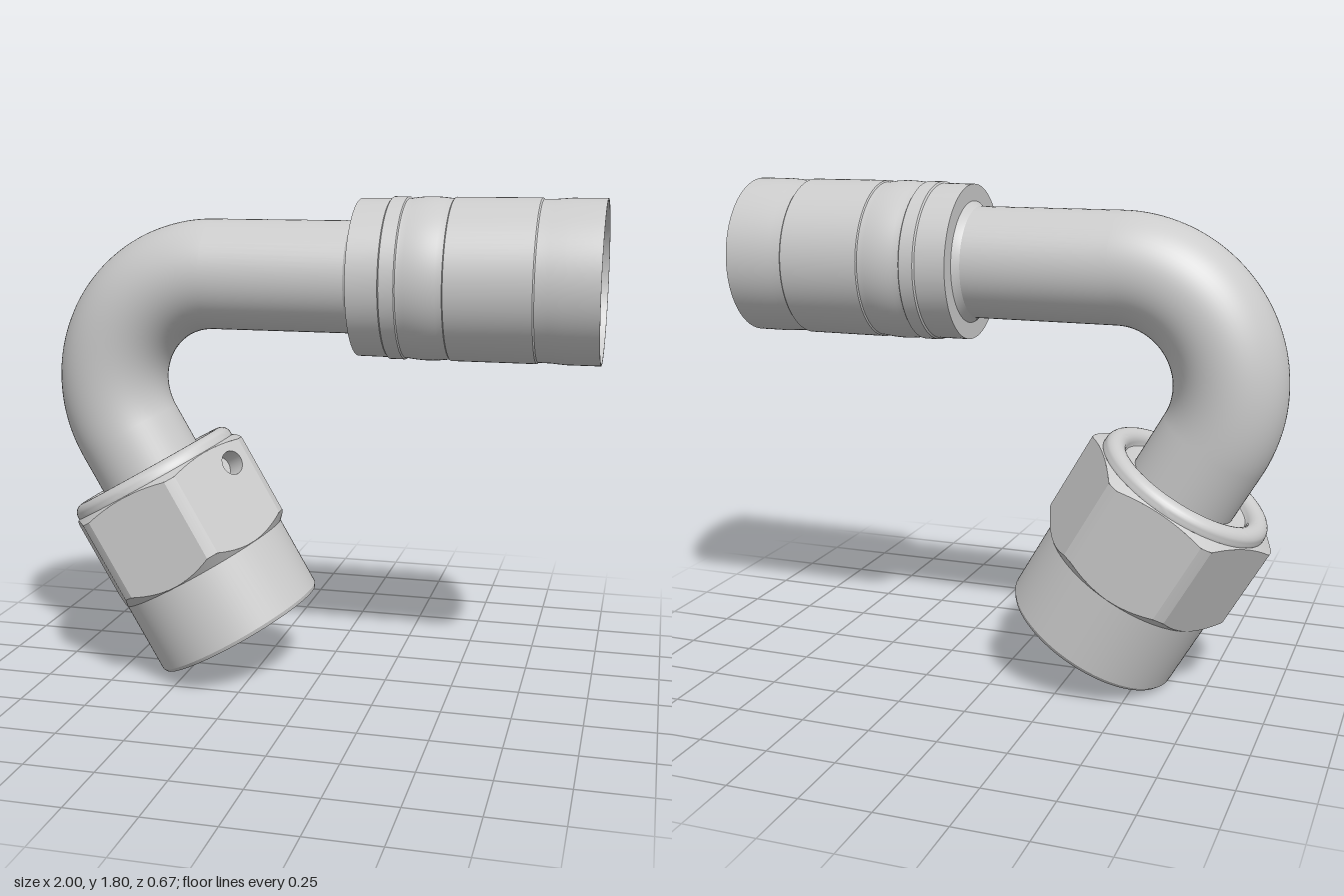
import * as THREE from 'three';
import { toCreasedNormals } from 'three/addons/utils/BufferGeometryUtils.js';

const material = new THREE.MeshStandardMaterial({ color: 0xcccccc, side: THREE.DoubleSide });
const AXIS_Y = 1.51, BEND_X = -0.4, BEND_R = 0.4;   // tube centre line
const FLAT = 0.335, CORNER = 0.375;                 // hex nut radii

function part(name, geometry, parent) {
  const mesh = new THREE.Mesh(geometry, material);
  mesh.name = name;
  parent.add(mesh);
  return mesh;
}

function lathe(profile, segments = 96) {
  const points = profile.map(([r, y]) => new THREE.Vector2(r, y));
  return toCreasedNormals(new THREE.LatheGeometry(points, segments), 0.45);
}

function pipe(r, y0, y1) {
  return new THREE.CylinderGeometry(r, r, y1 - y0, 64, 1, true).translate(0, (y0 + y1) / 2, 0);
}

// Height of the nut's two conical chamfers at a given radius
const chamferTop = r => 0.2 + (r - 0.33) * 0.5;
const chamferBottom = r => 0.575 - (r - 0.333) * 0.95;

// Conical ring whose outer rim is trimmed to the hexagon
function chamferRing(rInner, height) {
  const g = new THREE.LatheGeometry(
    [new THREE.Vector2(rInner, 0), new THREE.Vector2(CORNER, 1)], 180);
  const p = g.attributes.position;
  for (let i = 0; i < p.count; i++) {
    const x = p.getX(i), z = p.getZ(i), a = Math.atan2(z, x), sector = Math.PI / 3;
    const fromFlat = a - (Math.floor(a / sector) + 0.5) * sector;
    const r0 = Math.hypot(x, z), r = Math.min(r0, FLAT / Math.cos(fromFlat));
    p.setXYZ(i, x * r / r0, height(r), z * r / r0);
  }
  // The lower chamfer runs inwards as it descends, so its faces are turned over
  if (height === chamferBottom) g.index.array.reverse();
  g.computeVertexNormals();
  return toCreasedNormals(g, 0.45);
}

function buildNut() {
  const nut = new THREE.Group();
  nut.name = 'swivelNut';

  // Rounded lip around the tube
  const lip = [[0.2, 0.2], [0.235, 0.2], [0.247, 0.195]];
  for (let i = 0; i <= 12; i++) {
    const a = Math.PI * i / 12;
    lip.push([0.29 - 0.04 * Math.cos(a), 0.19 - 0.038 * Math.sin(a)]);
  }
  lip.push([0.33, 0.2]);
  part('nutLip', lathe(lip), nut);

  // Round skirt, bore and sealing seat
  part('nutSkirt', lathe([
    [0.333, 0.575], [0.333, 0.848], [0.325, 0.862], [0.29, 0.862], [0.255, 0.82],
    [0.255, 0.45], [0.235, 0.45], [0.235, 0.38], [0.14, 0.33],
  ]), nut);

  part('nutTopChamfer', chamferRing(0.33, chamferTop), nut);
  part('nutBottomChamfer', chamferRing(0.333, chamferBottom), nut);

  // Hex flats with curved ends, one of them drilled, and blunted corners
  const half = Math.sqrt(CORNER ** 2 - FLAT ** 2);
  const blunt = Math.PI / 6 - Math.acos(FLAT / CORNER);
  const top = chamferTop(CORNER), bottom = chamferBottom(CORNER);
  for (let k = 0; k < 6; k++) {
    const angle = Math.PI / 6 + k * Math.PI / 3;
    const outline = [], n = 16;
    for (let i = 0; i <= n; i++) {
      const u = half * (2 * i / n - 1);
      outline.push(new THREE.Vector2(u, chamferTop(Math.hypot(FLAT, u))));
    }
    for (let i = n; i >= 0; i--) {
      const u = half * (2 * i / n - 1);
      outline.push(new THREE.Vector2(u, chamferBottom(Math.hypot(FLAT, u))));
    }
    const shape = new THREE.Shape(outline);
    const drilled = k === 2, holeU = -0.09, holeY = 0.287, holeR = 0.045;
    if (drilled) shape.holes.push(new THREE.Path().absarc(holeU, holeY, holeR, 0, Math.PI * 2, true));
    const flat = part('nutFlat', new THREE.ShapeGeometry(shape, 16).translate(0, 0, FLAT), nut);
    flat.rotation.y = Math.PI / 2 - angle;
    if (drilled) {
      const wall = new THREE.CylinderGeometry(holeR, holeR, 0.08, 32, 1, true).rotateX(Math.PI / 2);
      part('wireHoleWall', wall.translate(holeU, holeY, FLAT - 0.04), flat);
      part('wireHoleFloor', new THREE.CircleGeometry(holeR, 32).translate(holeU, holeY, FLAT - 0.08), flat);
    }
    part('nutCorner', new THREE.CylinderGeometry(CORNER, CORNER, bottom - top, 4, 1, true,
      Math.PI / 2 + k * Math.PI / 3 - blunt, 2 * blunt).translate(0, (top + bottom) / 2, 0), nut);
  }
  return nut;
}

export function createModel() {
  const model = new THREE.Group();
  model.name = 'elbowHoseFitting';

  // Frame of the horizontal arm: local y runs along +x
  const arm = new THREE.Group();
  arm.name = 'hoseArm';
  arm.position.y = AXIS_Y;
  arm.rotation.z = -Math.PI / 2;

  // Frame of the angled arm: local y runs down its axis from the end of the bend
  const turn = Math.PI * 7 / 6;
  const angled = new THREE.Group();
  angled.name = 'nutArm';
  angled.position.set(BEND_X + BEND_R * Math.cos(turn), AXIS_Y - BEND_R + BEND_R * Math.sin(turn), 0);
  angled.rotation.z = turn;
  model.add(arm, angled);

  // Hollow bent tube: outer skin and bore
  for (const [label, r, armEnd, nutEnd] of [['tube', 0.2, 0.2, 0.22], ['bore', 0.14, 0.94, 0.33]]) {
    part(label + 'Straight', pipe(r, BEND_X, armEnd), arm);
    part(label + 'End', pipe(r, 0, nutEnd), angled);
    const bend = part(label + 'Bend', new THREE.TorusGeometry(BEND_R, r, 64, 64, Math.PI * 2 / 3), model);
    bend.position.set(BEND_X, AXIS_Y - BEND_R, 0);
    bend.rotation.z = Math.PI / 2;
  }

  // Crimped ferrule, its hose cavity and the inner nipple
  const ferrule = [
    [0.2, 0.125], [0.206, 0.135], [0.218, 0.15], [0.278, 0.15], [0.279, 0.262],
    [0.285, 0.267], [0.285, 0.318], [0.28, 0.322], [0.28, 0.328],
  ];
  for (let i = 0; i <= 8; i++) {
    ferrule.push([0.28 + 0.006 * Math.sin(Math.PI * i / 8), 0.33 + 0.145 * i / 8]);
  }
  ferrule.push([0.28, 0.48], [0.285, 0.484], [0.285, 0.78], [0.28, 0.785], [0.281, 0.83],
    [0.285, 0.88], [0.285, 1], [0.278, 1], [0.255, 0.8], [0.255, 0.35], [0.18, 0.35], [0.18, 0.925]);
  for (let i = 1; i <= 6; i++) {
    const a = Math.PI * i / 6;
    ferrule.push([0.16 + 0.02 * Math.cos(a), 0.925 + 0.025 * Math.sin(a)]);
  }
  part('ferrule', lathe(ferrule), arm);

  angled.add(buildNut());
  return model;
}
